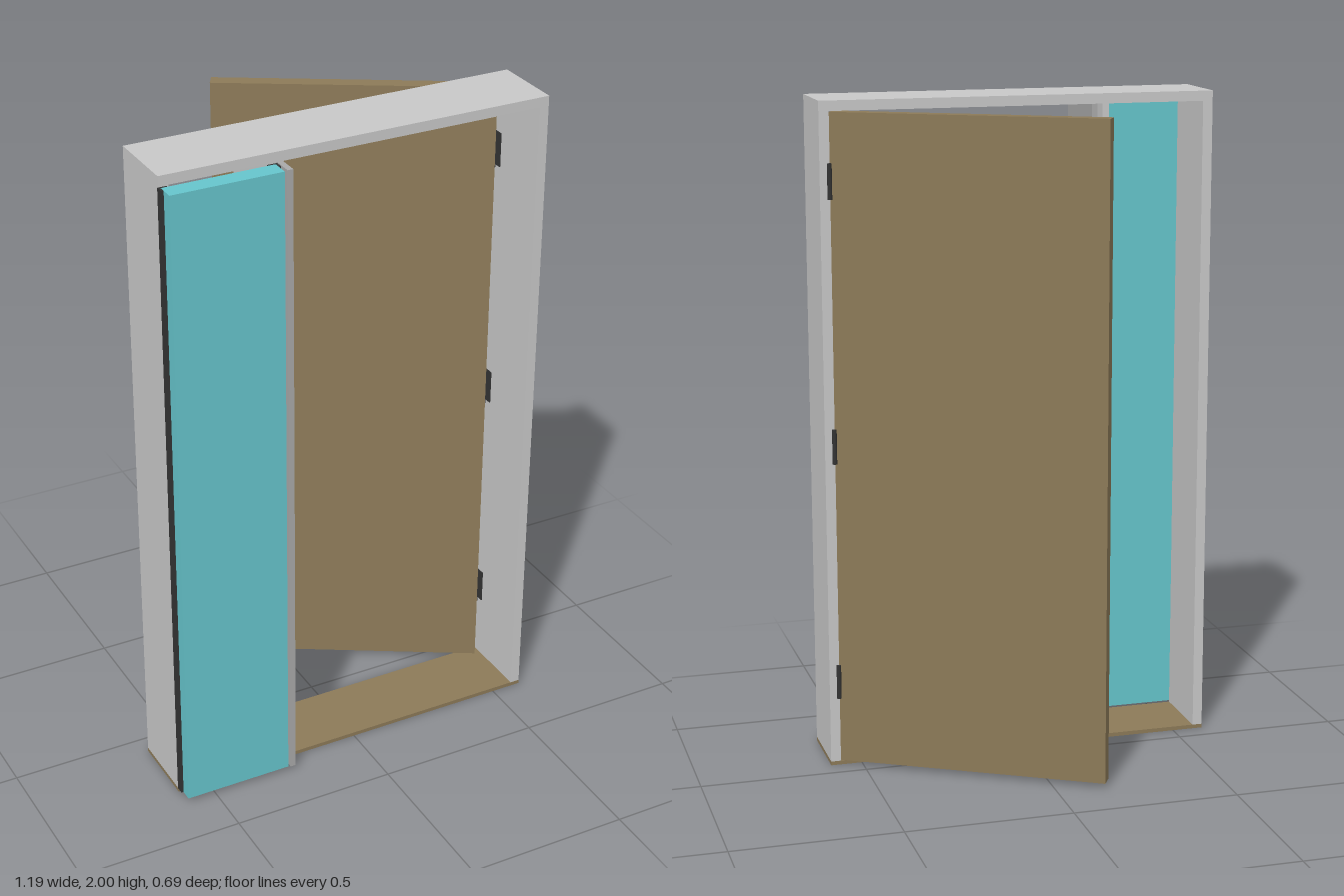
import * as THREE from 'three';

const mat = (name, color) => {
  const m = new THREE.MeshStandardMaterial({ color });
  m.name = name;
  return m;
};

export function createModel() {
  const frameGrey = mat('frameGrey', 0xc8c8c8);
  const stopGrey = mat('stopGrey', 0xa9a9a9);
  const wood = mat('woodBrown', 0x8c7a58);
  const cyan = mat('panelCyan', 0x66c5cc);
  const dark = mat('darkMetal', 0x333333);

  const model = new THREE.Group();
  model.name = 'doorwayWithSidePanel';

  // Box given by its limits on each axis
  const box = (name, material, [x0, x1], [y0, y1], [z0, z1], parent = model) => {
    const mesh = new THREE.Mesh(new THREE.BoxGeometry(x1 - x0, y1 - y0, z1 - z0), material);
    mesh.position.set((x0 + x1) / 2, (y0 + y1) / 2, (z0 + z1) / 2);
    mesh.name = name;
    parent.add(mesh);
    return mesh;
  };

  const W = 0.595, T = 0.03, SILL = 0.012, HEAD = 1.97;
  const depth = [0.062, 0.285], inner = [SILL, HEAD], leafY = [0.015, 1.968];

  // Frame: head, jambs, inner post and sill
  box('head', frameGrey, [-W, W], [HEAD, 2], depth);
  box('leftJamb', frameGrey, [W - T, W], inner, depth);
  box('rightJamb', frameGrey, [-W, -W + T], inner, depth);
  box('innerPost', frameGrey, [-0.272, -0.252], inner, depth);
  box('sill', wood, [-W, W], [0, SILL], depth);

  // Stop board the door closes against, running out past the side panel
  box('doorStop', stopGrey, [-0.25, -0.233], [SILL, HEAD], [0.107, 0.345]);

  // Side panel held by dark angle strips
  box('sidePanel', cyan, [-0.59, -0.258], leafY, [0.291, 0.345]);
  box('outerAngleBack', dark, [-0.597, -0.57], leafY, [0.285, 0.291]);
  box('outerAngleSide', dark, [-0.597, -0.59], leafY, [0.291, 0.31]);
  box('innerAngleBack', dark, [-0.28, -0.251], leafY, [0.285, 0.291]);
  box('innerAngleSide', dark, [-0.258, -0.251], leafY, [0.291, 0.31]);

  // Door swung open 30 degrees about the hinge line
  const door = new THREE.Group();
  door.name = 'door';
  door.position.set(0.565, 0, 0.062);
  door.rotation.y = -Math.PI / 6;
  box('doorLeaf', wood, [-0.818, 0], leafY, [0, 0.043], door);
  model.add(door);

  // Hinges: a knuckle with a leaf on the jamb and one on the door edge
  for (const y of [0.265, 0.99, 1.77]) {
    const span = [y - 0.052, y + 0.052];
    const knuckle = new THREE.Mesh(new THREE.CylinderGeometry(0.007, 0.007, 0.104, 16), dark);
    knuckle.position.set(0.567, y, 0.058);
    knuckle.name = 'hingeKnuckle';
    model.add(knuckle);
    box('hingeJambLeaf', dark, [0.562, 0.566], span, [0.062, 0.095]);
    box('hingeDoorLeaf', dark, [-0.001, 0.002], span, [0, 0.033], door);
  }

  return model;
}
